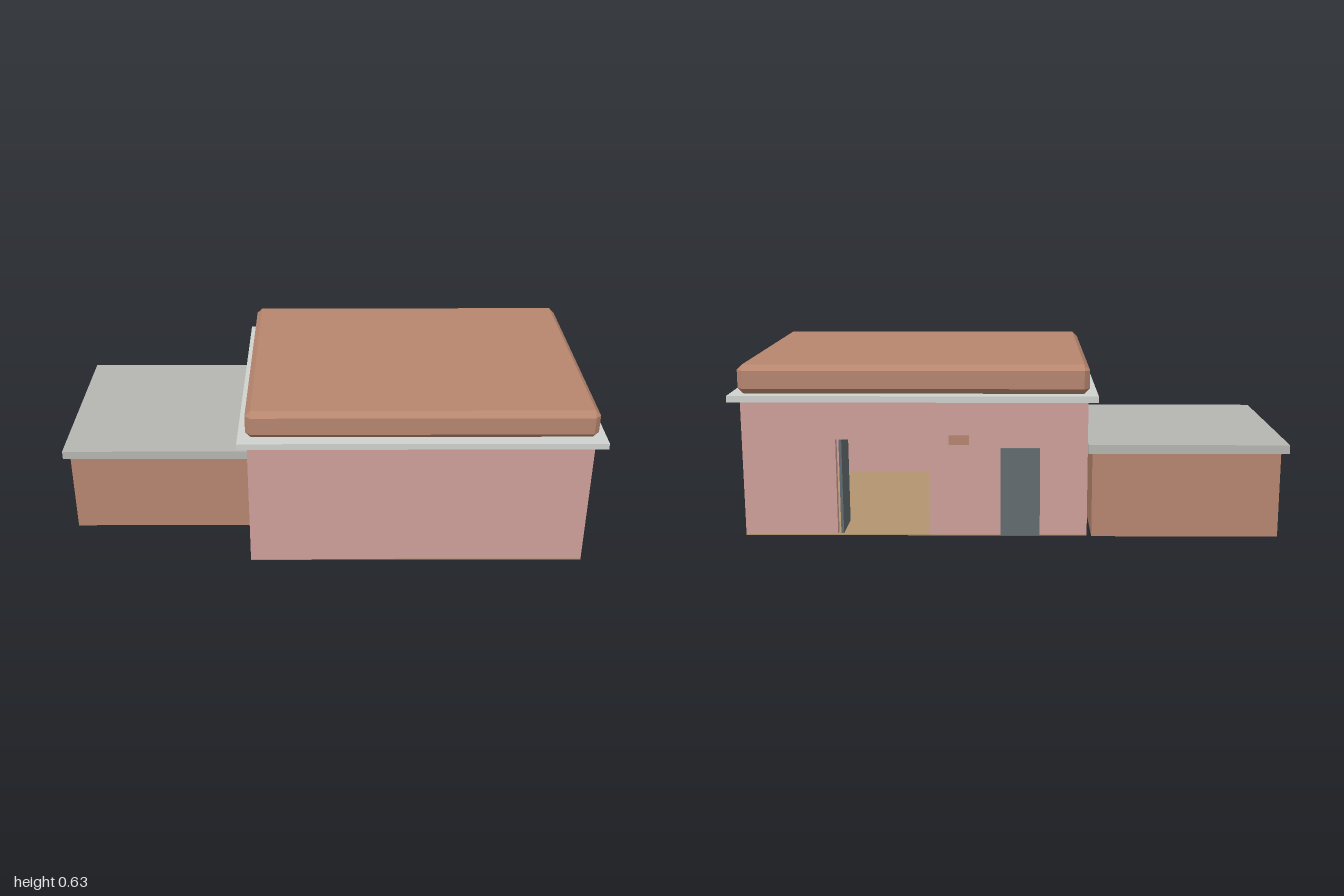
import * as THREE from 'three';
import { ConvexGeometry } from 'three/addons/geometries/ConvexGeometry.js';

function material(name, color) {
  const m = new THREE.MeshStandardMaterial({ color });
  m.name = name;
  return m;
}

export function createModel() {
  const pink = material('pinkWall', 0xce9f9a);
  const brick = material('brickBrown', 0xb7866f);
  const pale = material('paleConcrete', 0xcfd2cf);
  const grey = material('greyRoof', 0xb5b6b1);
  const tan = material('tanFloor', 0xb39570);
  const steel = material('doorGrey', 0x646c70);

  const model = new THREE.Group();
  model.name = 'building';

  function add(name, geometry, mat) {
    const mesh = new THREE.Mesh(geometry, mat);
    mesh.name = name;
    model.add(mesh);
    return mesh;
  }

  // Box given by its lower and upper limits on each axis
  function box(name, mat, x0, x1, y0, y1, z0, z1) {
    const mesh = add(name, new THREE.BoxGeometry(x1 - x0, y1 - y0, z1 - z0), mat);
    mesh.position.set((x0 + x1) / 2, (y0 + y1) / 2, (z0 + z1) / 2);
  }

  // Box with every edge cut at 45 degrees
  function chamferedBox(w, h, d, c) {
    const points = [];
    for (const sx of [-1, 1]) for (const sy of [-1, 1]) for (const sz of [-1, 1]) {
      const x = w / 2, y = h / 2, z = d / 2;
      points.push(
        new THREE.Vector3(sx * x, sy * (y - c), sz * (z - c)),
        new THREE.Vector3(sx * (x - c), sy * y, sz * (z - c)),
        new THREE.Vector3(sx * (x - c), sy * (y - c), sz * z));
    }
    return new ConvexGeometry(points);
  }

  const L = -0.283, R = 0.957, F = 0.475, T = 0.03;
  const base = 0.007, top = 0.502;

  // Main hall: floor and three plain walls
  box('floor', tan, L, R, 0.003, base, -F, F);
  box('frontWall', pink, L, R, base, top, F - T, F);
  box('leftWall', pink, R - T, R, base, top, -F + T, F - T);
  box('rightWall', pink, L, L + T, base, top, -F + T, F - T);

  // Back wall with the open entrance cut out of its lower edge
  const back = new THREE.Shape([
    [L, base], [0.287, base], [0.287, 0.36], [0.622, 0.36],
    [0.622, base], [R, base], [R, top], [L, top],
  ].map(([x, y]) => new THREE.Vector2(x, y)));
  add('backWall', new THREE.ExtrudeGeometry(back, { depth: T, bevelEnabled: false }), pink)
    .position.z = -F;

  // Door leaf standing open inside, closed side door, wall vent
  box('openDoorLeaf', steel, 0.602, 0.612, 0.002, 0.356, -0.465, -0.305);
  box('sideDoor', steel, -0.112, 0.03, base, 0.33, -0.481, -F);
  box('wallVent', brick, 0.142, 0.216, 0.343, 0.378, -0.481, -F);

  // Eaves slab and bevelled roof block
  box('eavesSlab', pale, -0.317, 0.996, top, 0.525, -0.511, 0.511);
  add('mainRoof', chamferedBox(1.254, 0.105, 0.96, 0.02), brick)
    .position.set(0.339, 0.5775, 0);

  // Lower annex beside the hall
  box('annexWalls', brick, -0.976, -0.3, 0, 0.315, -0.472, 0.237);
  box('annexRoof', grey, -1, -0.284, 0.315, 0.347, -0.497, 0.256);

  return model;
}
